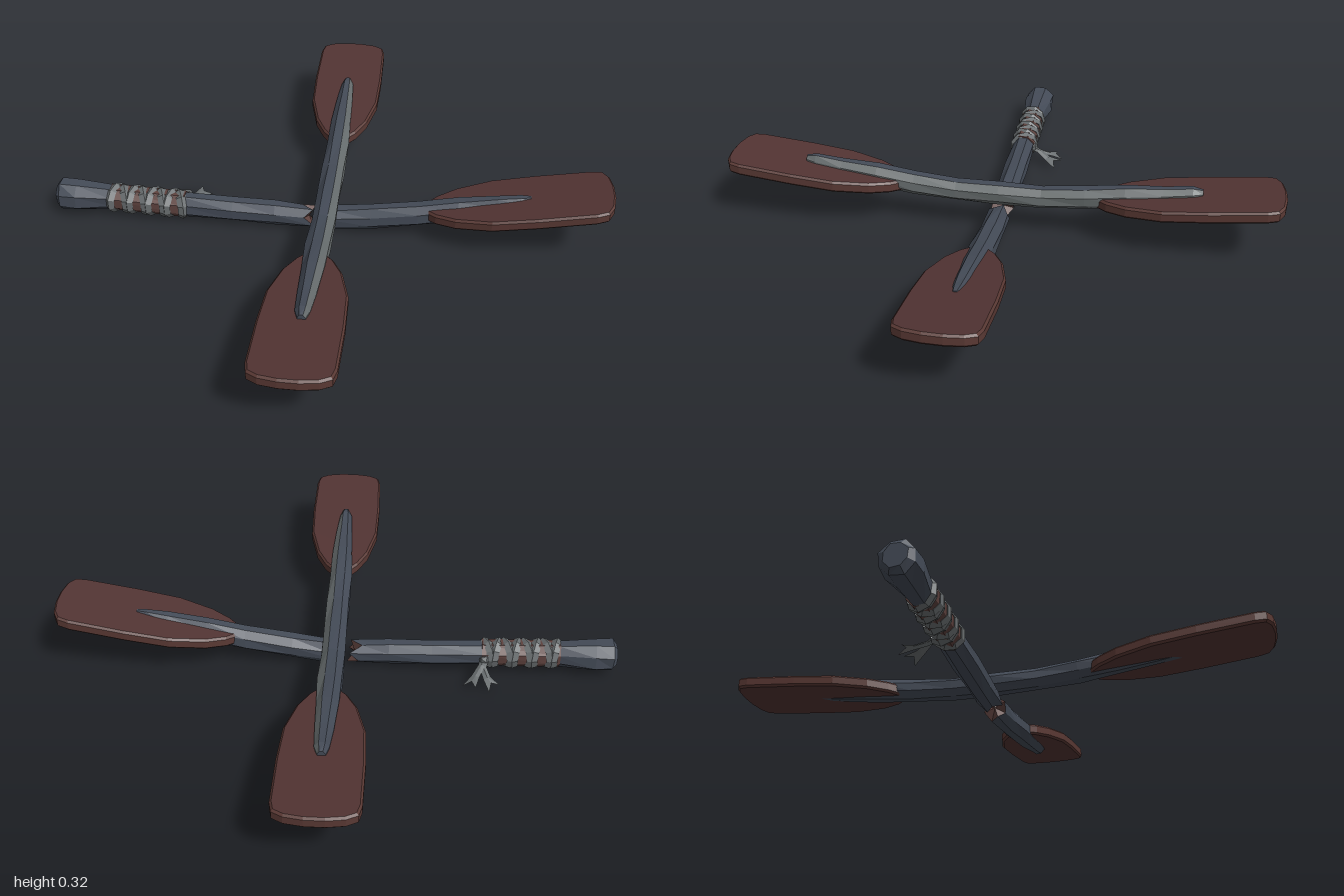
import * as THREE from 'three';

const mat = (name, color, extra = {}) => {
  const m = new THREE.MeshStandardMaterial({ color, flatShading: true, ...extra });
  m.name = name;
  return m;
};

export function createModel() {
  const slate = mat('slateWood', 0x444b57);
  const grey = mat('wornGreyWood', 0x666c6d);
  const red = mat('redBlade', 0x523433);
  const edge = mat('bladeEdge', 0x5a3934);
  const raw = mat('exposedWood', 0x5e423e);
  const cloth = mat('greyCloth', 0x6a6f71, { side: THREE.DoubleSide });

  const add = (parent, name, geo, material) => {
    const mesh = new THREE.Mesh(geo, material);
    mesh.name = name;
    parent.add(mesh);
    return mesh;
  };

  // Faceted pole along x. Stations are [x, centreY, halfWidth, halfHeight].
  // jag = [startOffsets, endOffsets] roughens an end; paint(j) picks a facet's material.
  const SIDES = 8;
  function pole(stations, jag = [], paint = () => 0, capMat = [0, 0]) {
    const last = stations.length - 1;
    const rings = stations.map(([x, cy, rw, rh], i) => {
      const off = i === 0 ? jag[0] : i === last ? jag[1] : null;
      return Array.from({ length: SIDES }, (_, j) => {
        const a = ((j + 0.5) / SIDES) * Math.PI * 2;
        const k = 1.03 + 0.06 * Math.sin(i * 2.3 + j * 1.9);
        return [x + (off ? off[j] : 0), cy + rh * k * Math.cos(a), rw * k * Math.sin(a)];
      });
    });
    const pos = [];
    const geo = new THREE.BufferGeometry();
    const face = (m, ...pts) => {
      geo.addGroup(pos.length / 3, pts.length, m);
      pts.forEach((p) => pos.push(...p));
    };
    for (let j = 0; j < SIDES; j++) {
      const n = (j + 1) % SIDES;
      for (let i = 0; i < last; i++) {
        const a = rings[i][j], b = rings[i][n], c = rings[i + 1][n], d = rings[i + 1][j];
        face(paint(j), a, b, c, a, c, d);
      }
      face(capMat[0], [stations[0][0], stations[0][1], 0], rings[0][n], rings[0][j]);
      face(capMat[1], [stations[last][0], stations[last][1], 0], rings[last][j], rings[last][n]);
    }
    geo.setAttribute('position', new THREE.Float32BufferAttribute(pos, 3));
    geo.computeVertexNormals();
    return geo;
  }

  // Flat paddle blade along +x, sheared upwards towards its tip
  function blade(y0, slope) {
    const half = [[0.45, 0.035], [0.5, 0.08], [0.59, 0.127], [0.75, 0.168], [0.95, 0.175],
      [1.2, 0.172], [1.25, 0.16], [1.275, 0.115], [1.287, 0.04]];
    const outline = [...half, ...half.slice().reverse().map(([u, v]) => [u, -v])];
    const shape = new THREE.Shape(outline.map(([u, v]) => new THREE.Vector2(u, v)));
    const geo = new THREE.ExtrudeGeometry(shape, {
      depth: 0.034, bevelEnabled: true, bevelSegments: 1,
      bevelSize: 0.009, bevelThickness: 0.01, bevelOffset: -0.009,
    });
    geo.rotateX(-Math.PI / 2);
    const p = geo.attributes.position;
    for (let i = 0; i < p.count; i++) {
      p.setY(i, p.getY(i) - 0.017 + y0 + (p.getX(i) - 0.45) * slope);
    }
    geo.computeVertexNormals();
    return geo;
  }

  const root = new THREE.Group();
  root.name = 'crossedPaddles';

  // Whole double-bladed paddle, with one weathered side
  const whole = new THREE.Group();
  whole.name = 'wholePaddle';
  whole.rotation.y = -Math.PI / 4;
  root.add(whole);
  const arm = [[0.2, 0.187, 0.055, 0.05], [0.4, 0.203, 0.056, 0.052], [0.58, 0.225, 0.05, 0.052],
    [0.75, 0.243, 0.042, 0.05], [0.88, 0.26, 0.032, 0.044], [0.925, 0.27, 0.018, 0.026]];
  const wholeStations = [
    ...arm.map(([x, ...r]) => [-x, ...r]).reverse(), [0, 0.185, 0.055, 0.05], ...arm,
  ];
  add(whole, 'wholeShaft', pole(wholeStations, [], (j) => (j >= 4 && j <= 6 ? 1 : 0)), [slate, grey]);
  for (const turn of [0, Math.PI]) {
    add(whole, 'blade', blade(0.198, 0.103), [red, edge]).rotation.y = turn;
  }

  // Broken paddle: blade half and handle half on the other diagonal
  const broken = new THREE.Group();
  broken.name = 'brokenPaddle';
  broken.rotation.y = Math.PI / 4;
  root.add(broken);
  add(broken, 'brokenShaft', pole([
    [0, 0.066, 0.05, 0.058], [0.2, 0.09, 0.054, 0.058], [0.42, 0.128, 0.056, 0.058],
    [0.6, 0.162, 0.05, 0.056], [0.78, 0.196, 0.042, 0.053],
    [0.88, 0.215, 0.032, 0.048], [0.925, 0.232, 0.018, 0.03],
  ], [[0.03, -0.01, 0.02, -0.02, 0.02, -0.015, 0.03, 0]], undefined, [1, 0]), [slate, raw]);
  add(broken, 'brokenBlade', blade(0.142, 0.188), [red, edge]);

  // Handle with flared knob and splintered end
  add(broken, 'brokenHandle', pole([
    [-1.3, 0.102, 0.05, 0.05], [-1.28, 0.102, 0.075, 0.074], [-1.2, 0.102, 0.075, 0.076],
    [-1.03, 0.098, 0.052, 0.058], [-0.7, 0.088, 0.054, 0.058], [-0.45, 0.08, 0.056, 0.058],
    [-0.25, 0.074, 0.055, 0.056], [-0.09, 0.07, 0.053, 0.053],
  ], [null, [0.02, -0.02, 0.03, -0.03, 0.035, -0.02, 0.025, -0.035]], undefined, [0, 1]), [slate, raw]);

  // Cloth wrapping: crossed, tilted bands over a bare core
  const grip = new THREE.Group();
  grip.name = 'gripWrap';
  broken.add(grip);
  add(grip, 'gripCore', pole([[-1.04, 0.098, 0.058, 0.062], [-0.68, 0.088, 0.058, 0.062]]), raw);
  for (let i = 0; i < 8; i++) {
    const band = add(grip, 'band', new THREE.TorusGeometry(0.06, 0.015, 4, 9), cloth);
    band.position.set(-1.02 + i * 0.045, 0.098 - i * 0.0014, 0);
    band.rotation.set(0, Math.PI / 2 + (i % 2 ? 0.38 : -0.3), i * 0.7);
    band.scale.set(1, 1, 1.6);
  }

  // Loose cloth tails from the knot, flared and notched at the tip
  function tail(points, widths) {
    const pos = [];
    const index = [];
    points.forEach(([x, y, z], i) => {
      const a = points[Math.max(i - 1, 0)], b = points[Math.min(i + 1, points.length - 1)];
      const s = new THREE.Vector3(b[2] - a[2], 0.02, a[0] - b[0]).setLength(widths[i]);
      pos.push(x - s.x, y - s.y, z - s.z, x, y + 0.006, z, x + s.x, y + s.y, z + s.z);
      if (i > 0) {
        for (const k of [0, 1]) {
          const n = i * 3 + k;
          index.push(n - 3, n - 2, n + 1, n - 3, n + 1, n);
        }
      }
    });
    const m = pos.length - 6;
    const p = points[points.length - 2], q = points[points.length - 1];
    [0, 1, 2].forEach((c) => { pos[m + c] += (p[c] - q[c]) * 0.45; });
    const geo = new THREE.BufferGeometry();
    geo.setAttribute('position', new THREE.Float32BufferAttribute(pos, 3));
    geo.setIndex(index);
    geo.computeVertexNormals();
    return geo;
  }
  add(root, 'clothTail', tail([[-0.51, 0.09, 0.48], [-0.54, 0.075, 0.42], [-0.555, 0.05, 0.365],
    [-0.575, 0.035, 0.3]], [0.02, 0.016, 0.02, 0.035]), cloth);
  add(root, 'clothTail', tail([[-0.52, 0.085, 0.47], [-0.55, 0.07, 0.42], [-0.6, 0.05, 0.395],
    [-0.655, 0.03, 0.385]], [0.02, 0.016, 0.018, 0.03]), cloth);
  const knot = add(root, 'knot', new THREE.IcosahedronGeometry(0.028, 0), cloth);
  knot.position.set(-0.525, 0.088, 0.455);

  return root;
}
